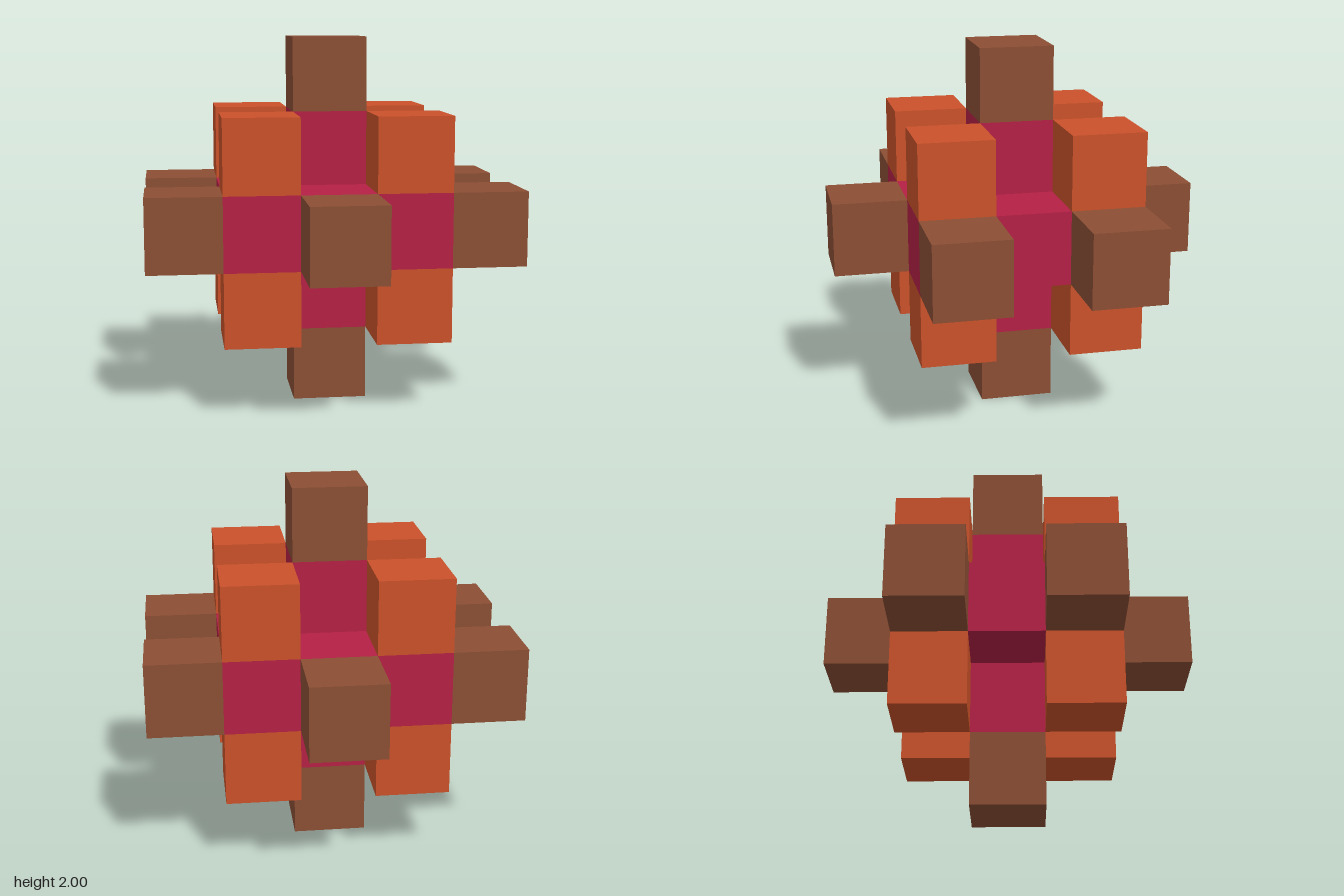
import * as THREE from 'three';

const CELL = 0.4;

const crimson = new THREE.MeshStandardMaterial({ name: 'crimson', color: 0xb42045 });
const orange = new THREE.MeshStandardMaterial({ name: 'orange', color: 0xca512a });
const brown = new THREE.MeshStandardMaterial({ name: 'brown', color: 0x8b4e34 });

export function createModel() {
  const model = new THREE.Group();
  model.name = 'blockCluster';

  // Block placed by grid cell, counted from the centre of the model
  const block = (name, material, [x, y, z], [w, h, d] = [1, 1, 1]) => {
    const mesh = new THREE.Mesh(new THREE.BoxGeometry(w * CELL, h * CELL, d * CELL), material);
    mesh.name = name;
    mesh.position.set(x * CELL, 1 + y * CELL, z * CELL);
    model.add(mesh);
  };

  // Central slab, three cells square
  block('coreSlab', crimson, [0, 0, 0], [3, 1, 3]);

  for (const s of [-1, 1]) {
    const level = s > 0 ? 'upper' : 'lower';
    const end = s > 0 ? 'front' : 'back';

    // Vertical axis: neck and tip above and below the slab
    block(`${level}Neck`, crimson, [0, s, 0]);
    block(`${level}Tip`, brown, [0, 2 * s, 0]);

    // Single arm in the middle of the front and back
    block(`${end}Arm`, brown, [0, 0, 2 * s]);

    for (const x of [-1, 1]) {
      const side = x > 0 ? 'Left' : 'Right';
      // Paired arms on each side
      block(`${end}${side}Arm`, brown, [2 * x, 0, s]);
      // Corner blocks above and below the slab
      for (const z of [-1, 1]) {
        block(`${level}${z > 0 ? 'Front' : 'Back'}${side}Corner`, orange, [x, s, z]);
      }
    }
  }
  return model;
}
